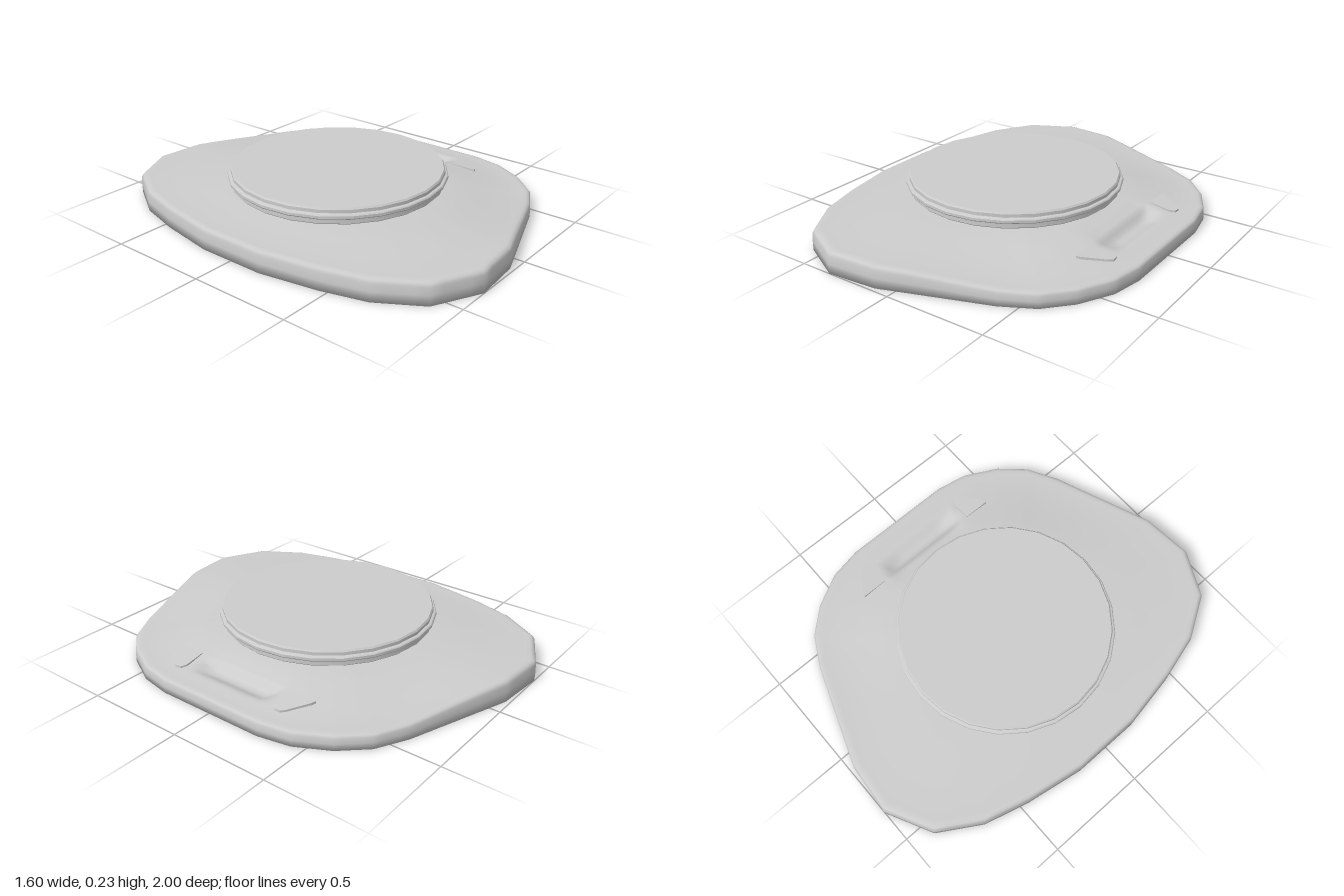
import * as THREE from 'three';
import { toCreasedNormals } from 'three/addons/utils/BufferGeometryUtils.js';

const material = new THREE.MeshStandardMaterial({ color: 0xcccccc, side: THREE.DoubleSide });
const smooth = THREE.MathUtils.smoothstep;
const lerp = THREE.MathUtils.lerp;

// Half of the base outline as [x, z], from the narrow side round to the wide side
const HALF = [
  [0.795, 0], [0.795, 0.28], [0.765, 0.44], [0.68, 0.6], [0.57, 0.72], [0.42, 0.8],
  [-0.09, 0.98], [-0.34, 1.0], [-0.565, 0.885], [-0.69, 0.68], [-0.75, 0.46], [-0.8, 0.17],
];

// Full mirrored outline with every edge subdivided
function outline(steps) {
  const corners = [...HALF, ...HALF.slice(1).reverse().map(([x, z]) => [x, -z])];
  const points = [];
  corners.forEach(([x, z], i) => {
    const [nx, nz] = corners[(i + 1) % corners.length];
    for (let k = 0; k < steps; k++) points.push([lerp(x, nx, k / steps), lerp(z, nz, k / steps)]);
  });
  return points;
}

// Height of the rim: thick on the wide side, thin on the narrow side
const rimHeight = (x) => lerp(0.105, 0.07, smooth(x, -0.15, 0.55));

// Finger recess in the narrow side, with a gentle ramp leading into it
function recess(x, z) {
  const across = 1 - smooth(Math.abs(z), 0.19, 0.23);
  const along = 0.2 * smooth(x, 0.43, 0.55) + 0.8 * smooth(x, 0.54, 0.58);
  return 0.035 * across * along * (1 - smooth(x, 0.6, 0.68));
}

// Base: rings shrinking from the bottom edge over the rim to the middle
function baseGeometry() {
  const edge = outline(4);
  const n = edge.length;
  const cx = -0.05;
  const rings = [[1, 0], [1, 0.45], [0.998, 0.8], [0.99, 0.95], [0.975, 1]];
  for (let t = 0.955; t > 0.62; t -= 0.018) rings.push([t, 1]);
  rings.push([0.55, 1], [0.45, 1], [0.35, 1], [0.2, 1]);

  const positions = [];
  const index = [];
  for (const [t, h] of rings) {
    for (const [ex, ez] of edge) {
      const x = cx + (ex - cx) * t;
      const z = ez * t;
      const rim = rimHeight(ex) * h;
      const rise = 1 - smooth(t, 0.42, 0.98);
      const y = lerp(rim, 0.13, rise);
      positions.push(x, h < 1 ? rim : y - recess(x, z), z);
    }
  }
  const top = positions.length / 3;
  positions.push(cx, 0.13, 0, cx, 0, 0);
  const last = (rings.length - 1) * n;
  for (let i = 0; i < n; i++) {
    const j = (i + 1) % n;
    for (let r = 0; r < rings.length - 1; r++) {
      const a = r * n + i, b = r * n + j;
      index.push(a, a + n, b, b, a + n, b + n);
    }
    index.push(last + i, top, last + j);
    index.push(i, j, top + 1);
  }
  const geometry = new THREE.BufferGeometry();
  geometry.setAttribute('position', new THREE.Float32BufferAttribute(positions, 3));
  geometry.setIndex(index);
  geometry.computeVertexNormals();
  return geometry;
}

// Wedge-shaped tab beside the recess, its top sloping towards the edge
function tabGeometry(side) {
  const shape = new THREE.Shape([
    [0.55, 0.275], [0.655, 0.27], [0.683, 0.285], [0.685, 0.315], [0.665, 0.335], [0.57, 0.398], [0.55, 0.405],
  ].map(([x, z]) => new THREE.Vector2(x, -z * side)));
  const geometry = new THREE.ExtrudeGeometry(shape, { depth: 0.05, bevelEnabled: false });
  geometry.rotateX(-Math.PI / 2);
  const p = geometry.attributes.position;
  for (let i = 0; i < p.count; i++) {
    const slope = lerp(0.1, 0.084, (p.getX(i) - 0.55) / 0.135);
    p.setY(i, p.getY(i) > 0.025 ? slope : 0.05);
  }
  geometry.computeVertexNormals();
  return geometry;
}

export function createModel() {
  const group = new THREE.Group();
  const add = (name, geometry, x = 0, y = 0, z = 0) => {
    const mesh = new THREE.Mesh(geometry, material);
    mesh.name = name;
    mesh.position.set(x, y, z);
    group.add(mesh);
    return mesh;
  };

  add('base', baseGeometry());

  // Oval neck carrying the plate
  const neck = new THREE.CylinderGeometry(0.295, 0.295, 0.05, 24);
  neck.scale(1, 1, 1.25);
  add('neck', toCreasedNormals(neck, 0.6), 0, 0.13, 0);

  // Round plate with a raised band around its edge
  const profile = [
    [0, 0.147], [0.515, 0.147], [0.52, 0.152], [0.52, 0.172], [0.531, 0.177], [0.535, 0.182],
    [0.535, 0.194], [0.531, 0.199], [0.52, 0.202], [0.52, 0.218], [0.514, 0.226], [0, 0.226],
  ].map(([r, y]) => new THREE.Vector2(r, y));
  add('plate', toCreasedNormals(new THREE.LatheGeometry(profile, 24), 0.6), -0.06, 0, 0);

  // Pair of tabs at the ends of the recess
  for (const side of [1, -1]) add(side > 0 ? 'frontTab' : 'backTab', tabGeometry(side));

  return group;
}
